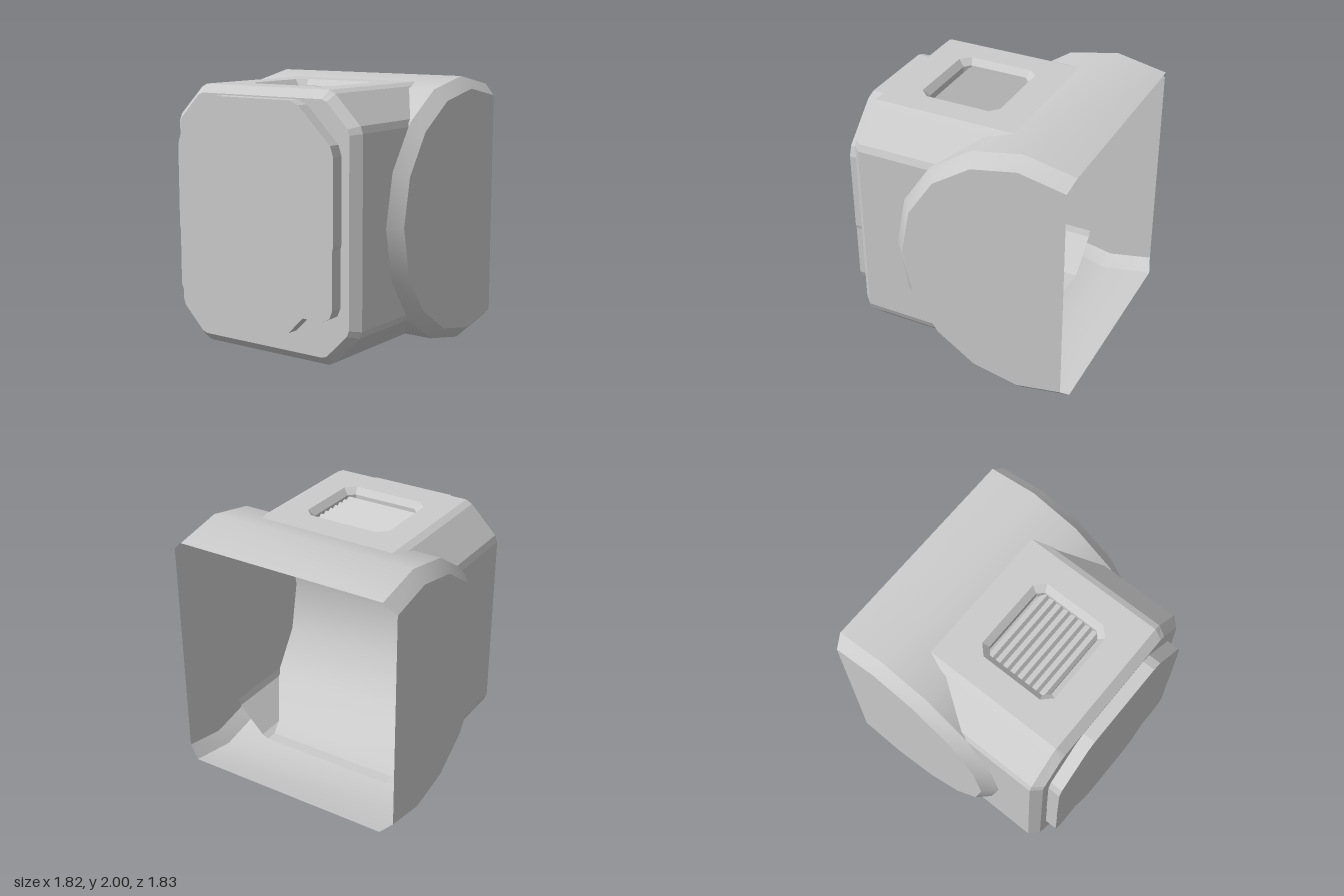
import * as THREE from 'three';

const material = new THREE.MeshStandardMaterial({ color: 0xcccccc, side: THREE.DoubleSide });

// Skin a list of equally long rings of [x, y, z]; skip leaves side faces out of the first band
function loft(rings, { closed = true, smooth = false, skip = -1 } = {}) {
  const n = rings[0].length, index = [];
  for (let r = 0; r < rings.length - 1; r++) {
    for (let i = 0; i < (closed ? n : n - 1); i++) {
      if (r === 0 && i === skip) continue;
      const a = r * n + i, b = r * n + (i + 1) % n;
      index.push(a, b, b + n, a, b + n, a + n);
    }
  }
  let g = new THREE.BufferGeometry();
  g.setAttribute('position', new THREE.Float32BufferAttribute(rings.flat(2), 3));
  g.setIndex(index);
  if (!smooth) g = g.toNonIndexed();
  g.computeVertexNormals();
  return g;
}

const toShape = pts => new THREE.Shape(pts.map(p => new THREE.Vector2(p[0], p[1])));

// Mirror a right-hand half outline (bottom to top) into a closed counterclockwise loop
const mirrored = half => [...half, ...half.map(([x, y]) => [-x, y]).reverse()];

// Rectangle with cut corners, centred on (0, cy)
const cutRect = (w, h, c, cy) => mirrored([
  [w - c, cy - h], [w, cy - h + c], [w, cy + h - c], [w - c, cy + h],
]);

export function createModel() {
  const model = new THREE.Group();
  const add = (name, geometry, parent = model) => {
    const mesh = new THREE.Mesh(geometry, material);
    mesh.name = name;
    parent.add(mesh);
    return mesh;
  };

  // Rear drum: part of a sixteen-sided cylinder lying along x, open at the back
  const drum = new THREE.Group();
  drum.name = 'rearDrum';
  model.add(drum);
  const arc = r => Array.from({ length: 11 }, (_, i) => {
    const a = (i - 5) * Math.PI / 8;
    return [-0.53 + r * Math.cos(a), 1 + r * Math.sin(a)];
  });
  const drumRing = (x, r) => arc(r).map(([z, y]) => [x, y, z]);
  const open = { closed: false, smooth: true };
  add('drumBand', loft([drumRing(0.82, 1), drumRing(-0.82, 1)], open), drum);
  add('leftDrumBevel', loft([drumRing(0.91, 0.91), drumRing(0.82, 1)], open), drum);
  add('rightDrumBevel', loft([drumRing(-0.82, 1), drumRing(-0.91, 0.91)], open), drum);
  for (const s of [1, -1]) {
    const cap = new THREE.ShapeGeometry(toShape(arc(0.91).map(([z, y]) => [-s * z, y])));
    cap.rotateY(s * Math.PI / 2).translate(s * 0.91, 0, 0);
    add(s > 0 ? 'leftDrumCap' : 'rightDrumCap', cap, drum);
  }

  // Front housing: a tube with bevelled corners and a bevelled front, open at the back
  const section = mirrored([
    [0.545, 0.05], [0.595, 0.075], [0.8, 0.28], [0.82, 0.33],
    [0.82, 1.68], [0.8, 1.73], [0.595, 1.935], [0.545, 1.96],
  ]);
  const faceOutline = mirrored([
    [0.53, 0.115], [0.57, 0.13], [0.74, 0.3], [0.755, 0.34],
    [0.755, 1.67], [0.74, 1.71], [0.57, 1.885], [0.53, 1.9],
  ]);
  const at = (pts, z) => pts.map(([x, y]) => [x, y, z]);
  add('housing', loft([at(section, -0.37), at(section, 0.755), at(faceOutline, 0.82)], { skip: 7 }));
  add('housingFace', new THREE.ShapeGeometry(toShape(faceOutline)).translate(0, 0, 0.82));

  // Housing top with the vent opening (shape y is -z)
  const ventOuter = cutRect(0.345, 0.315, 0.07, -0.215);
  const ventInner = cutRect(0.3, 0.27, 0.045, -0.215);
  const top = toShape([[-0.545, -0.755], [0.545, -0.755], [0.545, 0.37], [-0.545, 0.37]]);
  top.holes.push(toShape(ventOuter));
  add('housingTop', new THREE.ShapeGeometry(top).rotateX(-Math.PI / 2).translate(0, 1.96, 0));

  // Vent: sloping rim, short wall and a row of slats
  const vent = new THREE.Group();
  vent.name = 'topVent';
  model.add(vent);
  const flat = (pts, y) => pts.map(([x, v]) => [x, y, -v]);
  add('ventRim', loft([flat(ventOuter, 1.96), flat(ventInner, 1.915), flat(ventInner, 1.865)]), vent);
  const slat = toShape([[0.055, 0], [0.01, 0.03], [-0.01, 0], [-0.01, -0.005], [0.055, -0.005]]);
  const slatGeometry = new THREE.ExtrudeGeometry(slat, { depth: 0.6, bevelEnabled: false });
  slatGeometry.translate(0, 0, -0.3).rotateY(Math.PI / 2);
  for (let i = 0; i < 8; i++) {
    add('ventSlat', slatGeometry, vent).position.set(0, 1.872, 0.018 + i * 0.0633);
  }

  // Raised front panel with a stepped lower edge
  const panel = toShape(mirrored([
    [0.23, 0.24], [0.31, 0.275], [0.435, 0.4], [0.6, 0.4], [0.66, 0.43], [0.685, 0.49],
    [0.685, 0.9], [0.692, 0.93], [0.692, 1.53], [0.667, 1.605], [0.405, 1.86], [0.33, 1.89],
  ]));
  const panelGeometry = new THREE.ExtrudeGeometry(panel, { depth: 0.095, bevelEnabled: false });
  add('frontPanel', panelGeometry.translate(0, 0, 0.82));

  return model;
}
